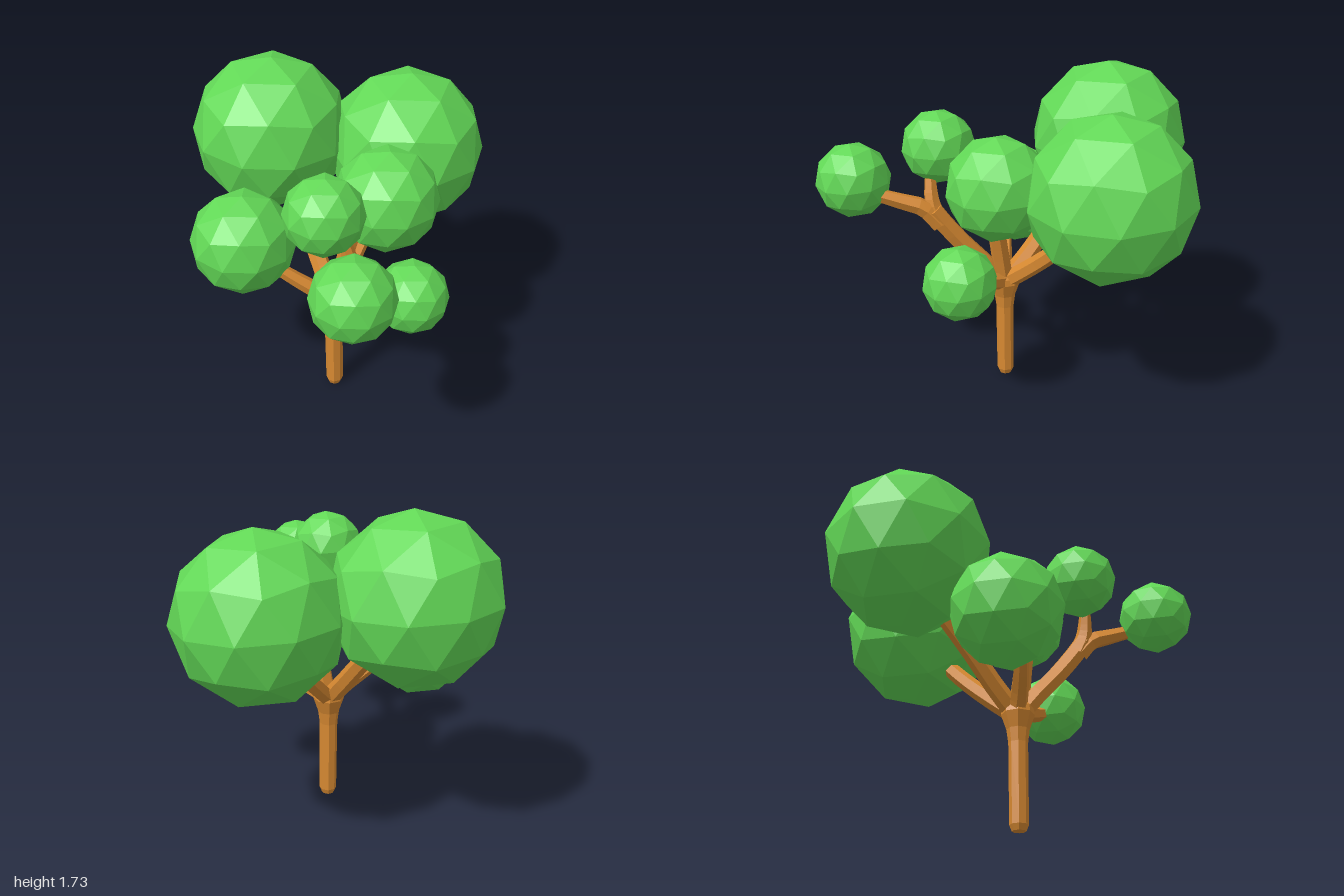
import * as THREE from 'three';

const bark = new THREE.MeshStandardMaterial({ color: 0xd88a32, flatShading: true });
const leaf = new THREE.MeshStandardMaterial({ color: 0x62d856, flatShading: true });

// Capped limb: a six-sided tube along a curve, tapering from r0 to r1
function limb(name, points, r0, r1, sides = 6) {
  const curve = new THREE.CatmullRomCurve3(points.map(p => new THREE.Vector3(...p)));
  const n = 8;
  const geo = new THREE.TubeGeometry(curve, n, 1, sides);
  const pos = geo.attributes.position;
  const v = new THREE.Vector3();
  for (let i = 0; i <= n; i++) {
    const centre = curve.getPointAt(i / n);
    // the last ring closes flat onto the one before it
    const last = i === n;
    const target = last ? curve.getPointAt((n - 1) / n) : centre;
    const r = last ? 0 : THREE.MathUtils.lerp(r0, r1, i / (n - 1));
    for (let j = 0; j <= sides; j++) {
      const k = i * (sides + 1) + j;
      v.fromBufferAttribute(pos, k).sub(centre).multiplyScalar(r).add(target);
      pos.setXYZ(k, v.x, v.y, v.z);
    }
  }
  geo.computeVertexNormals();
  const mesh = new THREE.Mesh(geo, bark);
  mesh.name = name;
  return mesh;
}

export function createModel() {
  const tree = new THREE.Group();
  tree.name = 'tree';

  // Trunk with a rounded foot and a flared crotch
  const profile = [[0, 0], [0.035, 0], [0.047, 0.03], [0.049, 0.44], [0.058, 0.51],
    [0.085, 0.59], [0.08, 0.625], [0.045, 0.67], [0, 0.68]];
  const trunk = new THREE.Mesh(
    new THREE.LatheGeometry(profile.map(p => new THREE.Vector2(...p)), 8, Math.PI / 8), bark);
  trunk.name = 'trunk';
  trunk.position.set(-0.136, 0, 0.055);
  tree.add(trunk);

  // Branches, each from the crotch towards its clump of leaves
  tree.add(
    limb('sideBranchRight', [[-0.13, 0.58, 0.05], [-0.22, 0.66, 0.03], [-0.31, 0.73, 0], [-0.42, 0.82, -0.04]], 0.05, 0.036),
    limb('sideBranchLeft', [[-0.13, 0.59, 0.06], [-0.05, 0.64, 0.15], [0.04, 0.69, 0.25], [0.13, 0.75, 0.34]], 0.05, 0.036),
    limb('backBranchLeft', [[-0.13, 0.59, 0.05], [-0.03, 0.69, -0.03], [0.1, 0.83, -0.13], [0.3, 1.06, -0.25]], 0.05, 0.042),
    limb('backBranchRight', [[-0.135, 0.59, 0.05], [-0.15, 0.7, -0.06], [-0.18, 0.88, -0.22], [-0.22, 1.14, -0.47]], 0.052, 0.045),
    limb('uprightBranch', [[-0.13, 0.59, 0.06], [-0.11, 0.75, 0.085], [-0.08, 0.95, 0.12], [-0.03, 1.2, 0.17]], 0.052, 0.045),
    limb('frontBranch', [[-0.135, 0.58, 0.06], [-0.135, 0.7, 0.15], [-0.14, 0.86, 0.29], [-0.15, 1.02, 0.41], [-0.16, 1.13, 0.48]], 0.052, 0.054),
    limb('frontForkUpper', [[-0.15, 0.98, 0.39], [-0.165, 1.08, 0.43], [-0.2, 1.25, 0.43]], 0.055, 0.03),
    limb('frontForkLower', [[-0.148, 0.98, 0.4], [-0.16, 1.07, 0.48], [-0.175, 1.11, 0.58], [-0.2, 1.17, 0.74]], 0.055, 0.036),
  );

  // Leaf clumps: faceted balls, one corner up, leaning slightly
  const ball = new THREE.IcosahedronGeometry(1, 1);
  ball.rotateZ(-Math.atan(2 / (1 + Math.sqrt(5))));
  ball.rotateZ(-0.035).rotateX(0.045);
  const clumps = [
    ['backLeavesRight', -0.26, 1.315, -0.58, 0.42],
    ['backLeavesLeft', 0.408, 1.24, -0.31, 0.42],
    ['sideLeavesRight', -0.546, 0.924, -0.17, 0.277],
    ['middleLeaves', 0.112, 1.24, 0.16, 0.265],
    ['sideLeavesLeft', 0.17, 0.782, 0.382, 0.192],
    ['frontLeavesUpper', -0.273, 1.354, 0.363, 0.193],
    ['frontLeavesLower', -0.293, 1.216, 0.806, 0.193],
  ];
  for (const [name, x, y, z, r] of clumps) {
    const clump = new THREE.Mesh(ball, leaf);
    clump.name = name;
    clump.position.set(x, y, z);
    clump.scale.setScalar(r);
    tree.add(clump);
  }
  return tree;
}
